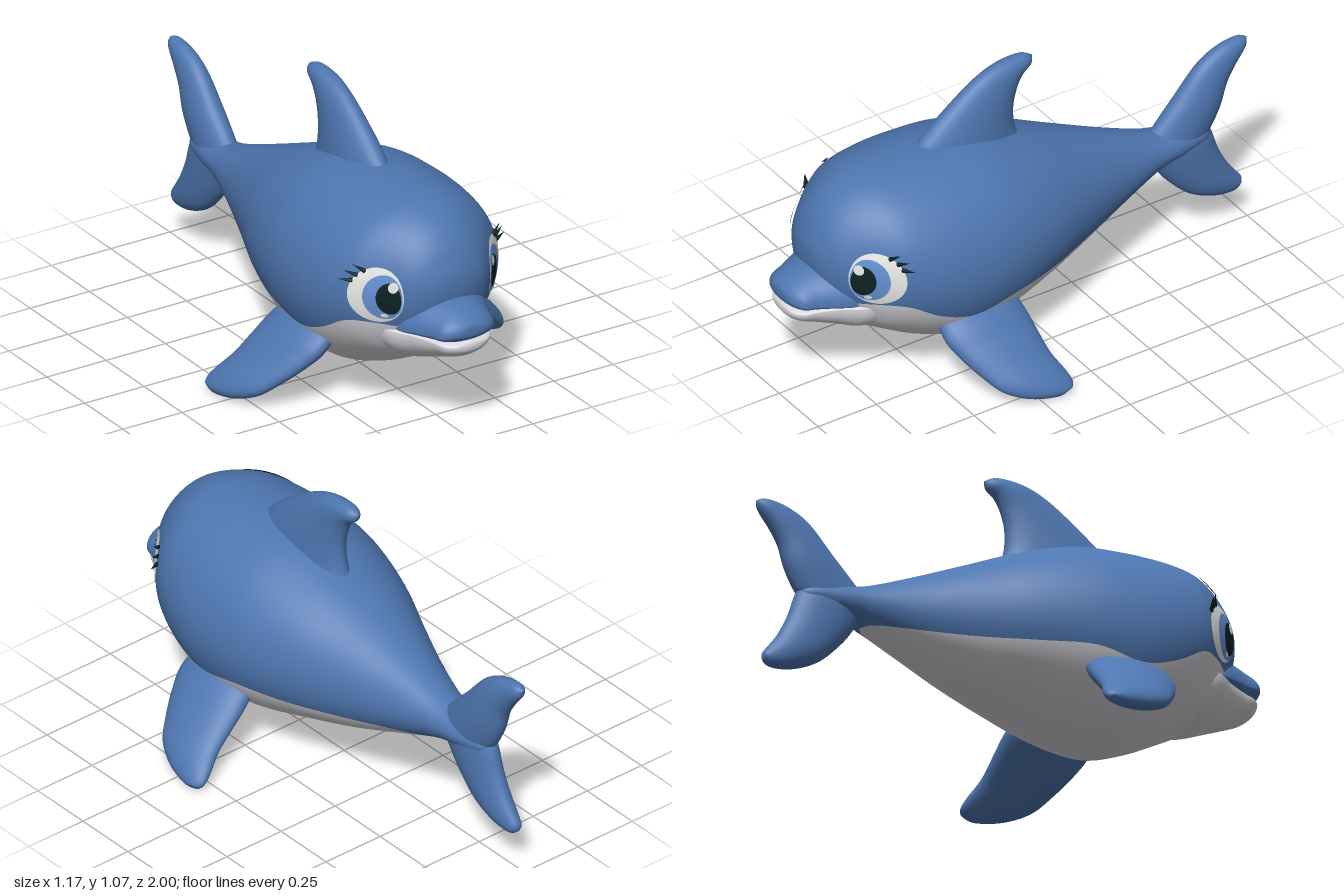
import * as THREE from 'three';

const mat = (name, color, side = THREE.FrontSide) => {
  const m = new THREE.MeshStandardMaterial({ color, side });
  m.name = name;
  return m;
};
const mats = {
  blue: mat('skin blue', 0x4e76b0),
  belly: mat('belly white', 0xd8d8de),
  eye: mat('eye white', 0xe6e6e4),
  iris: mat('iris blue', 0x6490d2),
  dark: mat('pupil dark', 0x0c2222),
  brow: mat('brow slate', 0x2a3648),
};

// Smooth interpolation through table rows, t from 0 to 1
function sampler(rows) {
  const n = rows.length - 1;
  return (t) => {
    const f = Math.min(Math.max(t, 0), 1) * n, i = Math.min(Math.floor(f), n - 1), k = f - i;
    const at = (r) => rows[Math.min(Math.max(r, 0), n)];
    const [a, b, c, d] = [at(i - 1), at(i), at(i + 1), at(i + 2)];
    return b.map((v, j) => v + 0.5 * k * (c[j] - a[j]
      + k * (2 * a[j] - 5 * v + 4 * c[j] - d[j] + k * (3 * (v - c[j]) + d[j] - a[j]))));
  };
}

// Skin over closed rings; columns from split onwards take the second material
function loft(name, rings, materials, split = Infinity) {
  const n = rings[0].length, pos = rings.flat(2), parts = [[], []];
  for (let i = 0; i < rings.length - 1; i++) {
    for (let j = 0; j < n; j++) {
      const a = i * n + j, b = i * n + (j + 1) % n;
      parts[j < split ? 0 : 1].push(a, b, a + n, b, b + n, a + n);
    }
  }
  // Turn all faces outward
  const all = parts.flat(), P = (i) => new THREE.Vector3().fromArray(pos, i * 3);
  let volume = 0;
  for (let i = 0; i < all.length; i += 3) {
    volume += P(all[i]).dot(P(all[i + 1]).cross(P(all[i + 2])));
  }
  if (volume < 0) {
    for (const p of parts) {
      for (let i = 0; i < p.length; i += 3) [p[i], p[i + 1]] = [p[i + 1], p[i]];
    }
  }
  const g = new THREE.BufferGeometry();
  g.setAttribute('position', new THREE.Float32BufferAttribute(pos, 3));
  g.setIndex(parts.flat());
  if (parts[1].length) {
    g.addGroup(0, parts[0].length, 0);
    g.addGroup(parts[0].length, parts[1].length, 1);
  }
  g.computeVertexNormals();
  const mesh = new THREE.Mesh(g, materials);
  mesh.name = name;
  return mesh;
}

// Body sections: z, top, bottom, widest height, half width, colour border height
const body = sampler([
  [0.888, 0.56, 0.55, 0.555, 0, 0.40], [0.885, 0.60, 0.51, 0.55, 0.05, 0.40],
  [0.87, 0.645, 0.44, 0.545, 0.105, 0.40], [0.84, 0.705, 0.36, 0.54, 0.16, 0.405],
  [0.79, 0.762, 0.30, 0.53, 0.212, 0.412], [0.72, 0.805, 0.235, 0.52, 0.275, 0.42],
  [0.64, 0.83, 0.19, 0.505, 0.33, 0.41], [0.52, 0.84, 0.13, 0.48, 0.367, 0.34],
  [0.38, 0.84, 0.087, 0.465, 0.38, 0.30], [0.2, 0.825, 0.11, 0.46, 0.365, 0.33],
  [0, 0.76, 0.165, 0.46, 0.31, 0.33], [-0.2, 0.675, 0.22, 0.45, 0.225, 0.335],
  [-0.4, 0.59, 0.295, 0.44, 0.145, 0.35], [-0.58, 0.52, 0.365, 0.445, 0.09, 0.365],
  [-0.7, 0.50, 0.39, 0.445, 0.07, 0.35], [-0.8, 0.48, 0.41, 0.445, 0.045, 0.35],
  [-0.84, 0.446, 0.444, 0.445, 0, 0.35],
]);

// Oval rings along z, with the seam at the border height
function ovalRings(sample, count, up, low) {
  return Array.from({ length: count + 1 }, (_, i) => {
    const [z, top, bot, cy, w, border = cy] = sample(i / count);
    const q = (border - cy) / (border > cy ? top - cy : cy - bot);
    const a0 = Math.asin(Math.min(Math.max(q || 0, -1), 1)), arc = Math.PI - 2 * a0;
    return Array.from({ length: up + low }, (_, j) => {
      const a = j < up ? a0 + arc * j / up
        : Math.PI - a0 + (2 * Math.PI - arc) * (j - up) / low;
      const s = Math.sin(a);
      return [w * Math.cos(a), cy + s * (s > 0 ? top - cy : cy - bot), z];
    });
  });
}

// Half width of the body at a given z and height
function surfaceX(z, y) {
  let lo = 0, hi = 1;
  for (let i = 0; i < 30; i++) {
    const m = (lo + hi) / 2;
    if (body(m)[0] > z) lo = m; else hi = m;
  }
  const [, top, bot, cy, w] = body(lo);
  const q = (y - cy) / (y > cy ? top - cy : cy - bot);
  return w * Math.sqrt(Math.max(0, 1 - q * q));
}

function surfacePoint(z, y, lift, side) {
  const e = 0.004, x = surfaceX(z, y);
  const n = new THREE.Vector3(1, (surfaceX(z, y - e) - surfaceX(z, y + e)) / (2 * e),
    (surfaceX(z - e, y) - surfaceX(z + e, y)) / (2 * e)).normalize();
  const p = new THREE.Vector3(x, y, z).addScaledVector(n, lift);
  p.x *= side;
  n.x *= side;
  return { p, n };
}

// Thin painted patch on the skin; f(u, v) gives [z, y]
function decal(name, material, f, lift, side, nu = 48, nv = 8) {
  const pos = [], nor = [], idx = [];
  for (let i = 0; i <= nu; i++) {
    for (let j = 0; j <= nv; j++) {
      const { p, n } = surfacePoint(...f(i / nu, j / nv), lift, side);
      pos.push(...p);
      nor.push(...n);
      if (i < nu && j < nv) {
        const a = i * (nv + 1) + j, b = a + nv + 1;
        if (side > 0) idx.push(a, a + 1, b, b, a + 1, b + 1);
        else idx.push(a, b, a + 1, b, b + 1, a + 1);
      }
    }
  }
  const g = new THREE.BufferGeometry();
  g.setAttribute('position', new THREE.Float32BufferAttribute(pos, 3));
  g.setAttribute('normal', new THREE.Float32BufferAttribute(nor, 3));
  g.setIndex(idx);
  const mesh = new THREE.Mesh(g, material);
  mesh.name = name;
  return mesh;
}
const disc = (z, y, rz, ry) => (u, v) => [
  z + rz * v * Math.cos(u * 2 * Math.PI), y - ry * v * Math.sin(-u * 2 * Math.PI) * -1];
// Tapered stroke along points [z, y]
function stroke(points, width) {
  const c = new THREE.SplineCurve(points.map((p) => new THREE.Vector2(...p)));
  return (u, v) => {
    const p = c.getPoint(u), t = c.getTangent(u);
    const w = width * (v * 2 - 1) * (0.25 + 0.75 * Math.sqrt(Math.sin(Math.PI * u) + 1e-9));
    return [p.x + t.y * w, p.y - t.x * w];
  };
}

// Fin from rows: leading z, y, trailing z, y, half thickness
function fin(name, rows) {
  const sample = sampler(rows), rings = [];
  for (let i = 0; i <= 48; i++) {
    const [lz, ly, tz, ty, th] = sample(i / 48);
    rings.push(Array.from({ length: 32 }, (_, j) => {
      const a = j / 32 * 2 * Math.PI, c = Math.cos(a) / 2;
      return [th * Math.sin(a), (ly + ty) / 2 + (ly - ty) * c, (lz + tz) / 2 + (lz - tz) * c];
    }));
  }
  return loft(name, rings, mats.blue);
}

export function createModel() {
  const model = new THREE.Group();
  model.name = 'dolphin';

  // Body, beak and jaw
  model.add(loft('body', ovalRings(body, 128, 44, 28), [mats.blue, mats.belly], 44));
  model.add(loft('upperBeak', ovalRings(sampler([
    [1, 0.435, 0.425, 0.43, 0], [0.995, 0.455, 0.405, 0.425, 0.06],
    [0.965, 0.482, 0.385, 0.415, 0.11], [0.91, 0.508, 0.375, 0.41, 0.13],
    [0.85, 0.525, 0.375, 0.405, 0.16], [0.79, 0.53, 0.375, 0.40, 0.185],
    [0.70, 0.53, 0.38, 0.40, 0.19]]), 48, 24, 24), mats.blue));
  model.add(loft('lowerJaw', ovalRings(sampler([
    [0.992, 0.37, 0.365, 0.368, 0], [0.985, 0.385, 0.345, 0.37, 0.06],
    [0.955, 0.39, 0.32, 0.375, 0.10], [0.90, 0.395, 0.295, 0.38, 0.122],
    [0.83, 0.40, 0.268, 0.385, 0.16], [0.75, 0.405, 0.24, 0.39, 0.215],
    [0.65, 0.40, 0.22, 0.38, 0.22]]), 48, 24, 24), mats.belly));

  // Back fin and upright tail lobes
  model.add(fin('dorsalFin', [
    [0.43, 0.79, -0.03, 0.71, 0.078], [0.40, 0.845, 0, 0.79, 0.074],
    [0.28, 0.945, 0.005, 0.87, 0.062], [0.165, 1.025, -0.01, 0.94, 0.05],
    [0.07, 1.062, -0.035, 0.99, 0.042], [-0.03, 1.07, -0.07, 1.02, 0.028],
    [-0.08, 1.05, -0.08, 1.05, 0]]));
  model.add(fin('upperTailLobe', [
    [-0.58, 0.49, -0.80, 0.42, 0.06], [-0.60, 0.52, -0.84, 0.46, 0.06],
    [-0.69, 0.615, -0.88, 0.54, 0.06], [-0.79, 0.725, -0.905, 0.62, 0.05],
    [-0.88, 0.775, -0.94, 0.68, 0.04], [-0.96, 0.788, -0.985, 0.74, 0.025],
    [-0.997, 0.775, -0.997, 0.775, 0]]));
  model.add(fin('lowerTailLobe', [
    [-0.58, 0.39, -0.80, 0.48, 0.06], [-0.60, 0.36, -0.835, 0.45, 0.06],
    [-0.65, 0.29, -0.87, 0.35, 0.056], [-0.74, 0.20, -0.91, 0.27, 0.05],
    [-0.84, 0.15, -0.945, 0.22, 0.04], [-0.93, 0.137, -0.97, 0.185, 0.025],
    [-0.97, 0.158, -0.97, 0.158, 0]]));

  for (const side of [1, -1]) {
    const label = side > 0 ? 'left' : 'right';

    // Side flipper
    const flipper = fin(label + 'Flipper', [
      [0.49, 0.05, 0.20, 0.05, 0.05], [0.51, -0.09, 0.17, -0.09, 0.065],
      [0.485, -0.18, 0.16, -0.19, 0.06], [0.435, -0.28, 0.15, -0.28, 0.052],
      [0.38, -0.36, 0.125, -0.355, 0.045], [0.29, -0.415, 0.115, -0.40, 0.033],
      [0.19, -0.44, 0.125, -0.425, 0.018], [0.145, -0.433, 0.145, -0.433, 0]]);
    flipper.position.set(0.25 * side, 0.3, 0);
    flipper.rotation.z = 0.845 * side;
    model.add(flipper);

    // Painted eye, lid, brow and ear mark
    const face = new THREE.Group();
    face.name = label + 'Eye';
    const lid = [15, 50, 85, 120, 150, 172].map((d) => {
      const a = d * Math.PI / 180;
      return [0.743 + 0.083 * Math.cos(a), 0.533 + 0.108 * Math.sin(a)];
    });
    face.add(
      decal('eyeWhite', mats.eye, disc(0.743, 0.533, 0.08, 0.105), 0.003, side),
      decal('iris', mats.iris, disc(0.765, 0.53, 0.055, 0.085), 0.005, side),
      decal('pupil', mats.dark, disc(0.783, 0.528, 0.034, 0.06), 0.007, side),
      decal('highlight', mats.eye, disc(0.794, 0.573, 0.014, 0.02), 0.009, side, 24, 3),
      decal('lowerGlint', mats.eye, disc(0.768, 0.462, 0.01, 0.008), 0.009, side, 24, 3),
      decal('upperLid', mats.dark, stroke(lid, 0.011), 0.009, side),
      decal('brow', mats.brow, stroke([[0.765, 0.705], [0.745, 0.73], [0.70, 0.742],
        [0.65, 0.728], [0.60, 0.68]], 0.016), 0.006, side),
      decal('earMark', mats.brow, stroke([[0.605, 0.58], [0.585, 0.57], [0.577, 0.548],
        [0.585, 0.523], [0.607, 0.517]], 0.008), 0.006, side));

    // Lashes
    [[0.70, 0.622, 0.6], [0.68, 0.603, 0.4], [0.668, 0.58, 0.15]].forEach(([z, y, rise]) => {
      const lash = new THREE.Mesh(new THREE.ConeGeometry(0.009, 0.055, 10), mats.dark);
      const dir = new THREE.Vector3(0.8 * side, rise, -0.35).normalize();
      lash.name = 'lash';
      lash.position.copy(surfacePoint(z, y, 0.004, side).p).addScaledVector(dir, 0.02);
      lash.quaternion.setFromUnitVectors(new THREE.Vector3(0, 1, 0), dir);
      face.add(lash);
    });
    model.add(face);
  }
  return model;
}
